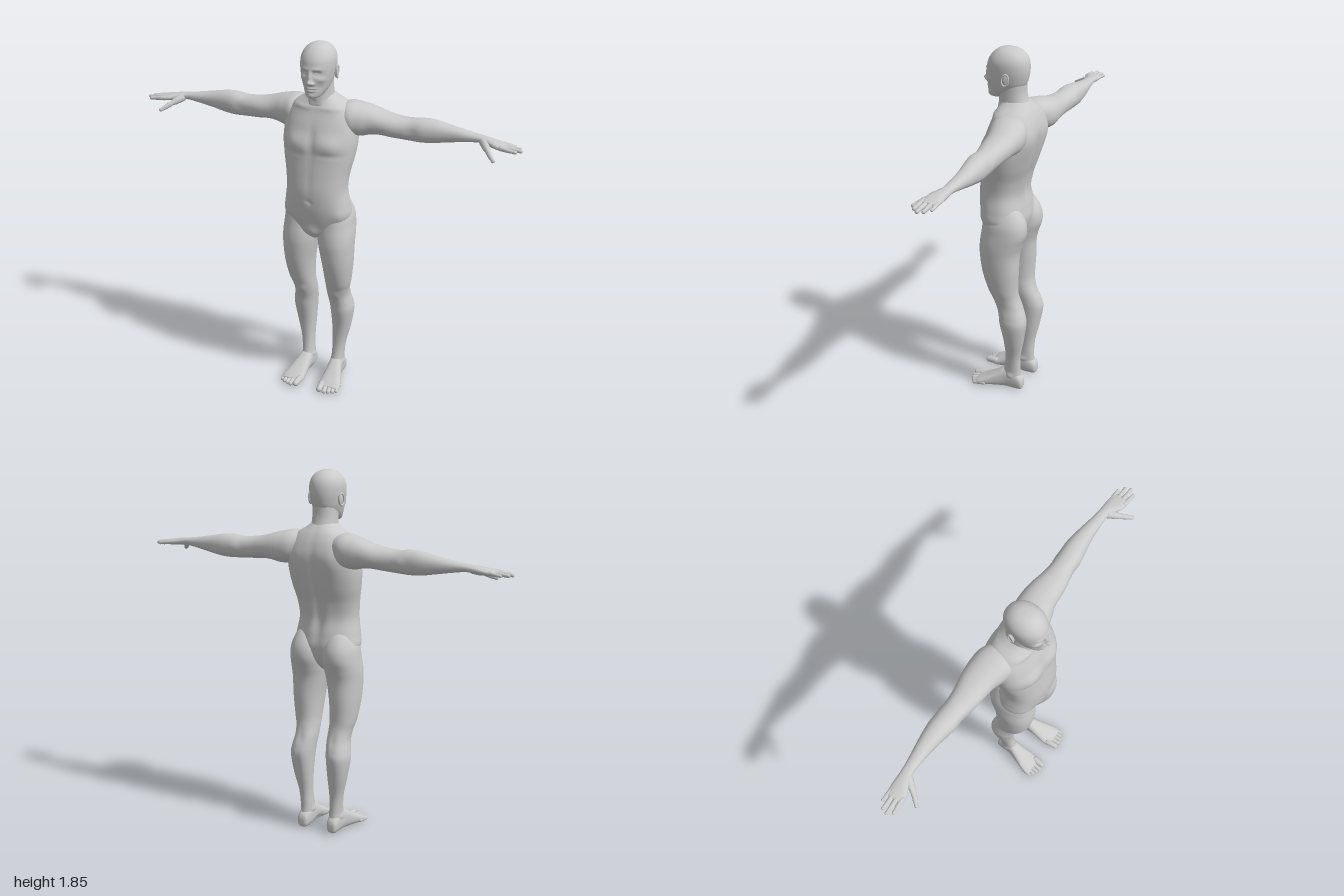
import * as THREE from 'three';

const skin = new THREE.MeshStandardMaterial({ color: 0xcacaca });
skin.name = 'pale grey skin';

// Smooth interpolation through rows of numbers
function spline(rows, steps) {
  const out = [], at = i => rows[Math.min(Math.max(i, 0), rows.length - 1)];
  for (let i = 0; i < rows.length - 1; i++)
    for (let s = 0; s < steps; s++) {
      const t = s / steps;
      out.push(at(i).map((p1, k) => {
        const p0 = at(i - 1)[k], p2 = at(i + 1)[k], p3 = at(i + 2)[k];
        return p1 + 0.5 * t * (p2 - p0 + t * (2 * p0 - 5 * p1 + 4 * p2 - p3 + t * (3 * (p1 - p2) + p3 - p0)));
      }));
    }
  out.push(at(rows.length - 1));
  return out;
}

// Pushes vertices along their normals; bump = [x, y, z, rx, ry, rz, height]
function sculpt(geo, bumps) {
  const p = geo.attributes.position, n = geo.attributes.normal;
  for (let i = 0; i < p.count; i++) {
    let d = 0;
    for (const [x, y, z, rx, ry, rz, h] of bumps)
      d += h * Math.exp(-(((p.getX(i) - x) / rx) ** 2) - ((p.getY(i) - y) / ry) ** 2 - ((p.getZ(i) - z) / rz) ** 2);
    p.setXYZ(i, p.getX(i) + n.getX(i) * d, p.getY(i) + n.getY(i) * d, p.getZ(i) + n.getZ(i) * d);
  }
  geo.computeVertexNormals();
}

// Skin over cross-sections [t, a0, a1, b0, b1]; (t, a, b) run in the order of the axes from `axis`
function loft(axis, sections, { seg = 48, steps = 6, power = 2.2, bumps = [] } = {}) {
  const rows = spline(sections, steps), pos = [], index = [];
  const put = (t, a, b) => {
    const v = [0, 0, 0];
    v[axis] = t; v[(axis + 1) % 3] = a; v[(axis + 2) % 3] = b;
    pos.push(...v);
  };
  const round = v => Math.sign(v) * Math.abs(v) ** (2 / power);
  for (const [t, a0, a1, b0, b1] of rows)
    for (let i = 0; i < seg; i++) {
      const ang = i / seg * Math.PI * 2;
      put(t, (a0 + a1) / 2 + (a1 - a0) / 2 * round(Math.cos(ang)), (b0 + b1) / 2 + (b1 - b0) / 2 * round(Math.sin(ang)));
    }
  for (let j = 0; j < rows.length - 1; j++)
    for (let i = 0; i < seg; i++) {
      const k = (i + 1) % seg, a = j * seg + i, b = j * seg + k;
      index.push(a, b, a + seg, b, b + seg, a + seg);
    }
  // end caps
  const first = rows[0], last = rows[rows.length - 1], c = rows.length * seg;
  for (const [t, a0, a1, b0, b1] of [first, last]) put(t, (a0 + a1) / 2, (b0 + b1) / 2);
  for (let i = 0; i < seg; i++) {
    const k = (i + 1) % seg;
    index.push(c, k, i, c + 1, c - seg + i, c - seg + k);
  }
  const geo = new THREE.BufferGeometry();
  geo.setAttribute('position', new THREE.Float32BufferAttribute(pos, 3));
  geo.setIndex(index);
  geo.computeVertexNormals();
  if (bumps.length) sculpt(geo, bumps);
  return geo;
}

// Round-tipped finger or toe segment from p to q
function digit(p, q, r0, r1) {
  const a = new THREE.Vector3(...p), dir = new THREE.Vector3(...q).sub(a), len = dir.length();
  const pts = [[0, -r0 * 0.6], [r0 * 0.8, -r0 * 0.4], [r0, 0], [r0 * 0.93, len * 0.28], [(r0 + r1) / 2 * 1.04, len * 0.5],
    [r1 * 0.96, len * 0.7], [r1, len - r1]].map(v => new THREE.Vector2(...v));
  for (let i = 1; i <= 5; i++) {
    const t = i / 5 * Math.PI / 2;
    pts.push(new THREE.Vector2(Math.max(r1 * Math.cos(t), 0), len - r1 + r1 * Math.sin(t)));
  }
  const geo = new THREE.LatheGeometry(pts, 16);
  geo.applyQuaternion(new THREE.Quaternion().setFromUnitVectors(new THREE.Vector3(0, 1, 0), dir.normalize()));
  return geo.translate(a.x, a.y, a.z);
}

function mirrored(geo) {
  const g = geo.clone().scale(-1, 1, 1), ix = g.index;
  for (let i = 0; i < ix.count; i += 3) {
    const a = ix.getX(i);
    ix.setX(i, ix.getX(i + 1));
    ix.setX(i + 1, a);
  }
  g.computeVertexNormals();
  return g;
}

const both = list => list.flatMap(b => [b, [-b[0], ...b.slice(1)]]);

export function createModel() {
  const model = new THREE.Group();
  model.name = 'standing figure';
  const add = (name, geo) => {
    const m = new THREE.Mesh(geo, skin);
    m.name = name;
    model.add(m);
  };
  const pair = (name, geo) => {
    add('left ' + name, geo);
    add('right ' + name, mirrored(geo));
  };
  const sym = rows => rows.map(([y, z0, z1, w]) => [y, z0, z1, -w, w]);

  // Torso: y, back, front, half width
  add('torso', loft(1, sym([
    [0.85, -0.04, 0.06, 0.02], [0.875, -0.07, 0.088, 0.06], [0.92, -0.1, 0.1, 0.14], [0.98, -0.115, 0.115, 0.171],
    [1.04, -0.108, 0.125, 0.166], [1.12, -0.094, 0.129, 0.155], [1.2, -0.108, 0.122, 0.162], [1.28, -0.136, 0.113, 0.178],
    [1.36, -0.157, 0.104, 0.188], [1.44, -0.168, 0.084, 0.185], [1.5, -0.158, 0.062, 0.168], [1.545, -0.138, 0.045, 0.132],
    [1.575, -0.115, 0.032, 0.085], [1.6, -0.092, 0.025, 0.055]]), {
    seg: 96, steps: 8, power: 2.35,
    bumps: [
      ...both([
        [0.085, 1.365, 0.1, 0.065, 0.045, 0.07, 0.014],   // chest muscle
        [0.095, 1.315, 0.1, 0.06, 0.014, 0.07, -0.004],   // fold below it
        [0.08, 1.535, 0.04, 0.06, 0.012, 0.06, 0.005],    // collarbone
        [0.1, 1.42, -0.15, 0.05, 0.07, 0.06, 0.009],      // shoulder blade
        [0.045, 1.14, -0.1, 0.03, 0.1, 0.05, 0.006],      // lower back muscle
        [0.14, 1.0, 0.08, 0.03, 0.04, 0.05, 0.005]]),     // hip crest
      [0, 1.25, -0.13, 0.018, 0.22, 0.08, -0.012],        // spine groove
      [0, 1.38, 0.1, 0.016, 0.07, 0.05, -0.009],          // breastbone
      [0, 1.2, 0.12, 0.012, 0.09, 0.05, -0.003],
      [0, 1.07, 0.125, 0.01, 0.01, 0.03, -0.008],         // navel
      [0, 0.905, 0.09, 0.03, 0.03, 0.04, 0.01]],
  }));

  add('neck', loft(1, sym([[1.48, -0.13, 0.03, 0.08], [1.54, -0.12, 0.045, 0.071], [1.58, -0.104, 0.042, 0.064],
    [1.63, -0.092, 0.044, 0.061], [1.69, -0.09, 0.045, 0.061]]), {
    bumps: [...both([[0.03, 1.55, 0.04, 0.012, 0.05, 0.04, 0.004]]), [0, 1.585, 0.045, 0.012, 0.015, 0.02, 0.005]],
  }));

  // Head with the face sculpted into it
  add('head', loft(1, sym([
    [1.597, 0.035, 0.088, 0.018], [1.607, 0.005, 0.1, 0.038], [1.637, -0.055, 0.104, 0.058], [1.67, -0.088, 0.107, 0.07],
    [1.7, -0.1, 0.108, 0.077], [1.74, -0.107, 0.108, 0.083], [1.78, -0.105, 0.1, 0.083], [1.81, -0.093, 0.083, 0.073],
    [1.833, -0.07, 0.059, 0.054], [1.846, -0.042, 0.033, 0.03], [1.851, -0.008, 0.004, 0.004]]), {
    seg: 144, steps: 10, power: 2.1,
    bumps: [
      ...both([
        [0.033, 1.722, 0.095, 0.017, 0.012, 0.03, -0.014],   // eye socket
        [0.033, 1.721, 0.095, 0.011, 0.006, 0.03, 0.007],    // eyelids
        [0.03, 1.744, 0.1, 0.022, 0.008, 0.03, 0.004],       // brow
        [0.05, 1.693, 0.085, 0.018, 0.014, 0.03, 0.004],     // cheekbone
        [0.044, 1.655, 0.09, 0.016, 0.02, 0.03, -0.004],     // cheek hollow
        [0.014, 1.676, 0.11, 0.007, 0.007, 0.03, 0.01]]),    // nostril wing
      [0, 1.708, 0.11, 0.009, 0.024, 0.04, 0.014],           // nose bridge
      [0, 1.681, 0.112, 0.01, 0.012, 0.04, 0.021],           // nose tip
      [0, 1.65, 0.108, 0.022, 0.005, 0.03, 0.007],           // upper lip
      [0, 1.638, 0.108, 0.018, 0.005, 0.03, 0.007],          // lower lip
      [0, 1.644, 0.108, 0.026, 0.0025, 0.03, -0.005],        // mouth line
      [0, 1.613, 0.1, 0.02, 0.012, 0.03, 0.006]],            // chin
  }));

  // Ears
  const ear = new THREE.SphereGeometry(1, 24, 16).scale(0.008, 0.03, 0.018);
  const rim = new THREE.TorusGeometry(0.024, 0.0045, 10, 32).rotateY(Math.PI / 2).scale(1, 1.2, 0.72);
  for (const [name, geo, x] of [['ear', ear, 0.082], ['ear rim', rim, 0.088]])
    pair(name, geo.rotateY(0.2).rotateX(-0.15).translate(x, 1.71, -0.022));

  // Arm and palm: x, bottom, top, back, front
  pair('arm', loft(0, [
    [0.08, 1.43, 1.54, -0.13, -0.03], [0.14, 1.395, 1.556, -0.165, 0.022], [0.2, 1.388, 1.548, -0.172, 0.01],
    [0.25, 1.398, 1.535, -0.17, -0.008], [0.3, 1.402, 1.52, -0.165, -0.018], [0.36, 1.397, 1.508, -0.155, -0.025],
    [0.43, 1.393, 1.502, -0.15, -0.035], [0.5, 1.39, 1.508, -0.153, -0.038], [0.56, 1.394, 1.505, -0.154, -0.048],
    [0.64, 1.408, 1.49, -0.145, -0.062], [0.72, 1.422, 1.476, -0.132, -0.068], [0.78, 1.43, 1.468, -0.124, -0.07],
    [0.82, 1.426, 1.463, -0.122, -0.06], [0.87, 1.421, 1.455, -0.122, -0.036], [0.905, 1.421, 1.448, -0.118, -0.03],
    [0.922, 1.427, 1.443, -0.108, -0.038]], {
    bumps: [[0.33, 1.46, -0.02, 0.07, 0.04, 0.04, 0.005], [0.46, 1.45, -0.04, 0.03, 0.03, 0.03, -0.004],
      [0.46, 1.45, -0.15, 0.025, 0.025, 0.03, 0.004], [0.87, 1.42, -0.08, 0.03, 0.02, 0.025, -0.004]],
  }));

  // Fingers: z at the base, z at the tip, x of the tip, radius
  [[-0.109, -0.113, 0.958, 0.0095], [-0.087, -0.089, 0.988, 0.011], [-0.064, -0.062, 0.998, 0.0115], [-0.042, -0.036, 0.978, 0.011]]
    .forEach(([z0, z1, x, r], i) => pair('finger ' + (i + 1), digit([0.895, 1.436, z0], [x, 1.427, z1], r * 1.1, r * 0.8)));
  pair('thumb base', digit([0.805, 1.442, -0.08], [0.858, 1.41, -0.005], 0.021, 0.013));
  pair('thumb tip', digit([0.845, 1.417, -0.022], [0.888, 1.389, 0.026], 0.013, 0.01));

  // Leg: y, back, front, inner, outer
  pair('leg', loft(1, [
    [0.03, -0.112, 0, 0.056, 0.114], [0.08, -0.11, -0.005, 0.053, 0.117], [0.12, -0.107, -0.02, 0.053, 0.117],
    [0.2, -0.11, -0.03, 0.055, 0.125], [0.3, -0.13, -0.025, 0.05, 0.148], [0.4, -0.146, -0.005, 0.044, 0.163],
    [0.45, -0.138, 0.003, 0.04, 0.158], [0.5, -0.12, 0.018, 0.036, 0.15], [0.55, -0.102, 0.038, 0.036, 0.155],
    [0.6, -0.096, 0.06, 0.036, 0.167], [0.7, -0.1, 0.09, 0.028, 0.18], [0.8, -0.103, 0.104, 0.012, 0.186],
    [0.86, -0.118, 0.104, 0.004, 0.187], [0.92, -0.137, 0.096, 0.004, 0.182], [0.98, -0.132, 0.086, 0.01, 0.174],
    [1.04, -0.1, 0.06, 0.035, 0.148], [1.07, -0.065, 0.03, 0.065, 0.12]], {
    seg: 56,
    bumps: [[0.093, 0.52, 0.03, 0.025, 0.03, 0.03, 0.007],       // kneecap
      [0.093, 0.5, -0.12, 0.02, 0.04, 0.03, -0.005],             // back of knee
      [0.096, 0.34, -0.145, 0.012, 0.07, 0.03, -0.004],          // calf split
      [0.05, 0.09, -0.055, 0.02, 0.014, 0.018, 0.006],           // ankle bones
      [0.12, 0.08, -0.06, 0.02, 0.014, 0.018, 0.006]],
  }));

  // Foot: z, inner, outer, bottom, top
  const foot = loft(2, [
    [-0.127, 0.073, 0.102, 0.018, 0.05], [-0.117, 0.059, 0.114, 0.004, 0.075], [-0.08, 0.052, 0.118, 0, 0.105],
    [-0.03, 0.05, 0.122, 0, 0.115], [0.02, 0.048, 0.138, 0, 0.088], [0.07, 0.046, 0.155, 0, 0.058],
    [0.105, 0.046, 0.163, 0, 0.04], [0.127, 0.052, 0.158, 0.005, 0.028]], { power: 2.5,
    bumps: [[0.045, 0.015, 0, 0.03, 0.02, 0.04, -0.012]] });     // arch
  pair('foot', foot);
  // Toes: x at the base, x at the tip, z of the tip, radius
  [[0.064, 0.07, 0.17, 0.017], [0.091, 0.097, 0.169, 0.0125], [0.112, 0.119, 0.162, 0.012], [0.131, 0.139, 0.152, 0.0115], [0.149, 0.156, 0.139, 0.011]]
    .forEach(([x0, x1, z, r], i) => pair('toe ' + (i + 1), digit([x0, r + 0.008, z - 0.065], [x1, r, z], r, r * 0.92)));

  return model;
}
